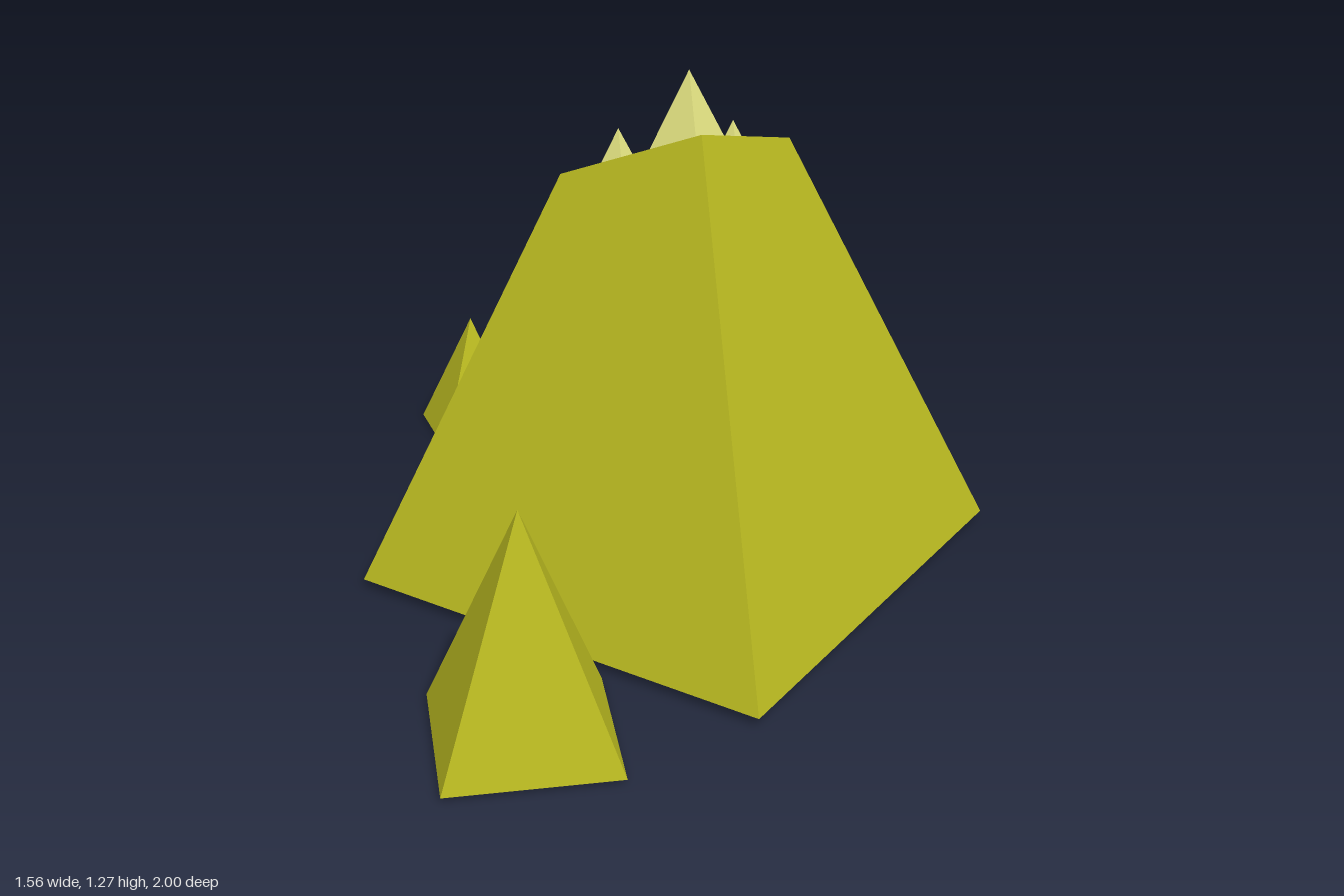
import * as THREE from 'three';

const rock = new THREE.MeshStandardMaterial({ color: 0xb8b820, flatShading: true });
const crystal = new THREE.MeshStandardMaterial({ color: 0xe0e080, flatShading: true });

// Square pyramid given by its apex; height is always twice the corner radius
function pyramid(name, material, [x, y, z], radius, turn = 0) {
  const geometry = new THREE.ConeGeometry(radius, radius * 2, 4, 1);
  const mesh = new THREE.Mesh(geometry, material);
  mesh.name = name;
  mesh.position.set(x, y - radius, z);
  mesh.rotation.y = turn;
  return mesh;
}

// Large pyramid whose tip is sliced off by a cut sloping down to the back
function cutPyramid() {
  const base = [[0, 0.022, 0.855], [0.778, 0.022, 0.077], [0, 0.022, -0.701], [-0.778, 0.022, 0.077]];
  const top = [[0, 1.165, 0.284], [0.257, 1.065, 0.077], [0, 0.72, -0.352], [-0.28, 1.02, 0.077]];
  const points = [];
  for (let i = 0; i < 4; i++) {
    const j = (i + 1) % 4;
    points.push(base[i], base[j], top[j], base[i], top[j], top[i]);
  }
  points.push(top[0], top[1], top[2], top[0], top[2], top[3]);
  points.push(base[0], base[2], base[1], base[0], base[3], base[2]);
  const geometry = new THREE.BufferGeometry();
  geometry.setAttribute('position', new THREE.Float32BufferAttribute(points.flat(), 3));
  geometry.computeVertexNormals();
  const mesh = new THREE.Mesh(geometry, rock);
  mesh.name = 'mainPyramid';
  return mesh;
}

export function createModel() {
  const group = new THREE.Group();
  group.name = 'pyramidCluster';
  group.add(cutPyramid());

  // Three free-standing pyramids around the large one
  group.add(
    pyramid('frontPyramid', rock, [-0.505, 0.565, 0.79], 0.277, 0.734),
    pyramid('backLeftPyramid', rock, [0.428, 0.72, -0.654], 0.349, -0.109),
    pyramid('backRightPyramid', rock, [-0.398, 0.322, -0.716], 0.161, 0.925),
  );

  // Small crystals growing out of the sloping cut
  const crystals = new THREE.Group();
  crystals.name = 'crystals';
  crystals.add(
    pyramid('largeCrystal', crystal, [0, 1.275, 0.16], 0.14),
    pyramid('rightCrystal', crystal, [-0.132, 1.095, 0.01], 0.085),
    pyramid('backCrystal', crystal, [0.01, 0.998, -0.093], 0.075),
    pyramid('leftCrystal', crystal, [0.125, 1.115, 0.067], 0.06),
  );
  group.add(crystals);
  return group;
}
